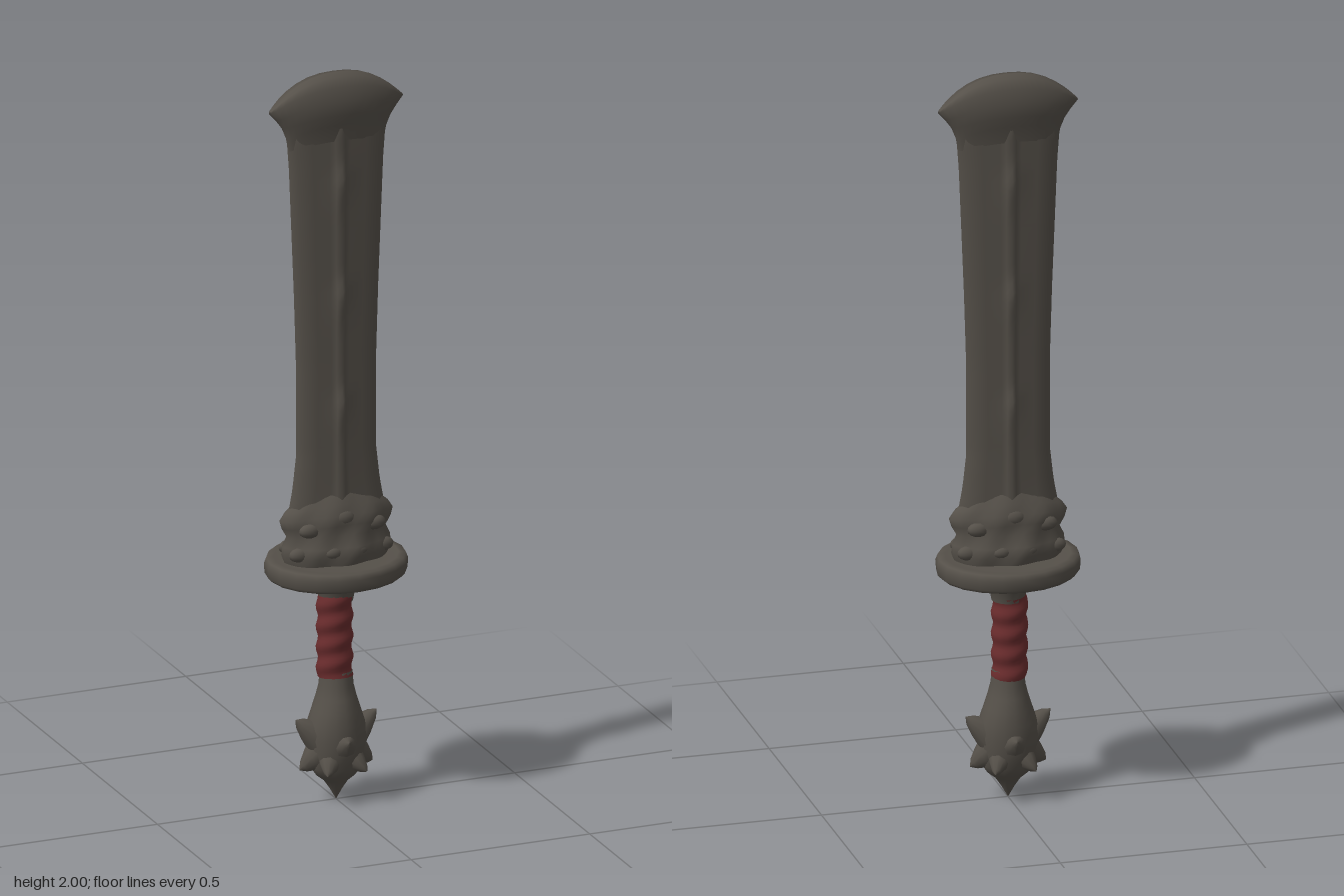
import * as THREE from 'three';

const bone = new THREE.MeshStandardMaterial({ color: 0x555049 });
bone.name = 'darkBone';
const wrap = new THREE.MeshStandardMaterial({ color: 0x6a2c2d });
wrap.name = 'redWrap';

// Skin of rows x cols points; rows go upward, columns run from +x towards +z
function loft(rows, cols, point) {
  const pos = [], idx = [];
  for (let i = 0; i < rows; i++) {
    for (let j = 0; j < cols; j++) pos.push(...point(i, j));
  }
  for (let i = 0; i < rows - 1; i++) {
    for (let j = 0; j < cols; j++) {
      const a = i * cols + j, b = i * cols + ((j + 1) % cols);
      idx.push(a, a + cols, b, b, a + cols, b + cols);
    }
  }
  const g = new THREE.BufferGeometry();
  g.setAttribute('position', new THREE.Float32BufferAttribute(pos, 3));
  g.setIndex(idx);
  g.computeVertexNormals();
  return g;
}

// Linear lookup in a table of [y, a, b, ...] rows
function sample(table, y) {
  let k = 0;
  while (k < table.length - 2 && y > table[k + 1][0]) k++;
  const p = table[k], q = table[k + 1];
  const t = THREE.MathUtils.clamp((y - p[0]) / (q[0] - p[0]), 0, 1);
  return p.map((v, i) => v + (q[i] - v) * t);
}

// Rounded column from [y, radiusX, radiusZ] sections
function column(sections, sides) {
  return loft(sections.length, sides, (i, j) => {
    const [y, rx, rz] = sections[i], a = (j / sides) * Math.PI * 2;
    return [Math.cos(a) * rx, y, Math.sin(a) * rz];
  });
}

export function createModel() {
  const model = new THREE.Group();
  model.name = 'boneSword';
  const add = (name, geometry, material = bone, parent = model) => {
    const m = new THREE.Mesh(geometry, material);
    m.name = name;
    parent.add(m);
    return m;
  };

  // Blade: quarter outline mirrored into a full ring, with a knobbed spine
  const quarter = [[1, 0], [0.86, 0.5], [0.55, 0.7], [0.22, 0.72], [0.1, 0.85], [0, 1]];
  const ring = [...quarter];
  for (let k = 4; k >= 0; k--) ring.push([-quarter[k][0], quarter[k][1]]);
  for (let k = 1; k < 10; k++) ring.push([-ring[k][0], -ring[k][1]]);
  const outline = [[0.66, 0.13, 0.05], [0.8, 0.135, 0.045], [0.87, 0.122, 0.042], [0.96, 0.112, 0.04],
    [1.2, 0.112, 0.038], [1.4, 0.118, 0.038], [1.6, 0.126, 0.038], [1.75, 0.132, 0.037], [1.83, 0.138, 0.036]];
  const bladeRows = 48;
  add('blade', loft(bladeRows, ring.length, (i, j) => {
    const y = 0.66 + (i / (bladeRows - 1)) * 1.17;
    const [, hw, hz] = sample(outline, y);
    let knob = 0;
    for (const c of [1.1, 1.4, 1.7]) {
      const d = y - c;
      knob += 0.012 * Math.exp(-((d / (d > 0 ? 0.03 : 0.07)) ** 2));
    }
    const [u, v] = ring[j];
    const spine = Math.max(0, Math.abs(v) - 0.72) / 0.28;
    return [u * hw, y + 0.025 * (1 - u * u) * (i / (bladeRows - 1)) ** 6, v * hz + Math.sign(v) * spine * knob];
  }));

  // Flared blade end: [y at the edge, half width, half thickness, arch in the middle]
  const head = [[1.8, 0.134, 0.03, 0.02], [1.835, 0.14, 0.036, 0.03], [1.865, 0.152, 0.046, 0.03],
    [1.89, 0.17, 0.047, 0.042], [1.91, 0.188, 0.04, 0.06], [1.914, 0.186, 0.025, 0.08], [1.915, 0.182, 0, 0.085]];
  const headSides = 32;
  add('bladeHead', loft(head.length, headSides, (i, j) => {
    const [y, hw, hz, arch] = head[i], a = (j / headSides) * Math.PI * 2;
    const u = Math.cos(a), s = Math.sin(a);
    return [u * hw, y + arch * (1 - Math.abs(u) ** 2.4), s * hz];
  }));

  // Lumpy collar where the blade meets the guard
  const collar = new THREE.Group();
  collar.name = 'collar';
  model.add(collar);
  const collarRows = [[0.66, 0.14, 0.075], [0.69, 0.152, 0.083], [0.715, 0.15, 0.08], [0.74, 0.138, 0.062],
    [0.765, 0.152, 0.068], [0.785, 0.158, 0.06], [0.805, 0.145, 0.048], [0.825, 0.122, 0.03]];
  const collarSides = 36;
  add('collarBody', loft(collarRows.length, collarSides, (i, j) => {
    const [y, hw, hz] = collarRows[i], a = (j / collarSides) * Math.PI * 2;
    const s = Math.sin(a), lump = 1 + 0.05 * Math.cos(a * 8 + i * 0.9);
    return [Math.cos(a) * hw, y + 0.03 * s * s * (i / 7) ** 2, Math.sign(s) * Math.abs(s) ** 1.25 * hz * lump];
  }), bone, collar);
  for (const sz of [1, -1]) {
    for (const [x, y, z, r] of [[-0.09, 0.765, 0.042, 0.022], [0.09, 0.765, 0.042, 0.022], [-0.035, 0.705, 0.067, 0.018],
      [0.035, 0.705, 0.067, 0.018], [0, 0.79, 0.045, 0.026], [-0.115, 0.7, 0.035, 0.022], [0.115, 0.7, 0.035, 0.022]]) {
      const k = add('collarKnuckle', new THREE.SphereGeometry(r, 12, 8), bone, collar);
      k.position.set(x, y, z * sz);
      k.scale.set(1.4, 0.9, 0.8);
    }
  }

  // Oval guard
  const guardProfile = [[0, 0.625], [0.06, 0.622], [0.15, 0.62], [0.178, 0.622], [0.188, 0.632], [0.19, 0.658],
    [0.184, 0.673], [0.165, 0.675], [0.13, 0.668], [0, 0.672]].map(p => new THREE.Vector2(...p));
  add('guard', new THREE.LatheGeometry(guardProfile, 20)).scale.z = 0.87;

  // Neck, wrapped grip and pommel
  add('neck', column([[0.55, 0.044, 0.044], [0.58, 0.05, 0.048], [0.605, 0.062, 0.06], [0.63, 0.066, 0.064]], 16));
  const gripRows = 25;
  add('grip', loft(gripRows, 16, (i, j) => {
    const t = i / (gripRows - 1), a = (j / 16) * Math.PI * 2;
    const r = 0.046 + 0.003 * Math.cos(t * Math.PI * 8 + a);
    return [Math.cos(a) * r - 0.004, 0.342 + t * 0.225 + 0.006 * Math.sin(a), Math.sin(a) * r];
  }), wrap);

  const pommel = new THREE.Group();
  pommel.name = 'pommel';
  model.add(pommel);
  add('pommelBody', column([[0.003, 0, 0], [0.035, 0.018, 0.016], [0.058, 0.034, 0.03], [0.075, 0.055, 0.048],
    [0.1, 0.072, 0.064], [0.14, 0.075, 0.072], [0.18, 0.08, 0.076], [0.22, 0.075, 0.073], [0.255, 0.063, 0.068],
    [0.29, 0.052, 0.058], [0.32, 0.045, 0.048], [0.36, 0.042, 0.043]], 16), bone, pommel);

  // Blunt horns around the pommel, each from a base to a tip
  const horn = (from, to, r) => {
    const a = new THREE.Vector3(...from), dir = new THREE.Vector3(...to).sub(a);
    const h = dir.length();
    const profile = [[r, 0], [r * 0.72, h * 0.4], [r * 0.35, h * 0.8], [0, h]].map(p => new THREE.Vector2(...p));
    const m = add('pommelHorn', new THREE.LatheGeometry(profile, 10), bone, pommel);
    m.position.copy(a);
    m.quaternion.setFromUnitVectors(new THREE.Vector3(0, 1, 0), dir.normalize());
  };
  for (const s of [1, -1]) {
    horn([0.045 * s, 0.175, 0], [0.114 * s, 0.235, 0], 0.045);
    horn([0.045 * s, 0.135, 0], [0.102 * s, 0.095, 0], 0.045);
    horn([0, 0.17, 0.05 * s], [0, 0.185, 0.09 * s], 0.042);
    for (const t of [1, -1]) horn([0.03 * s, 0.125, 0.035 * t], [0.055 * s, 0.095, 0.077 * t], 0.034);
  }
  return model;
}
